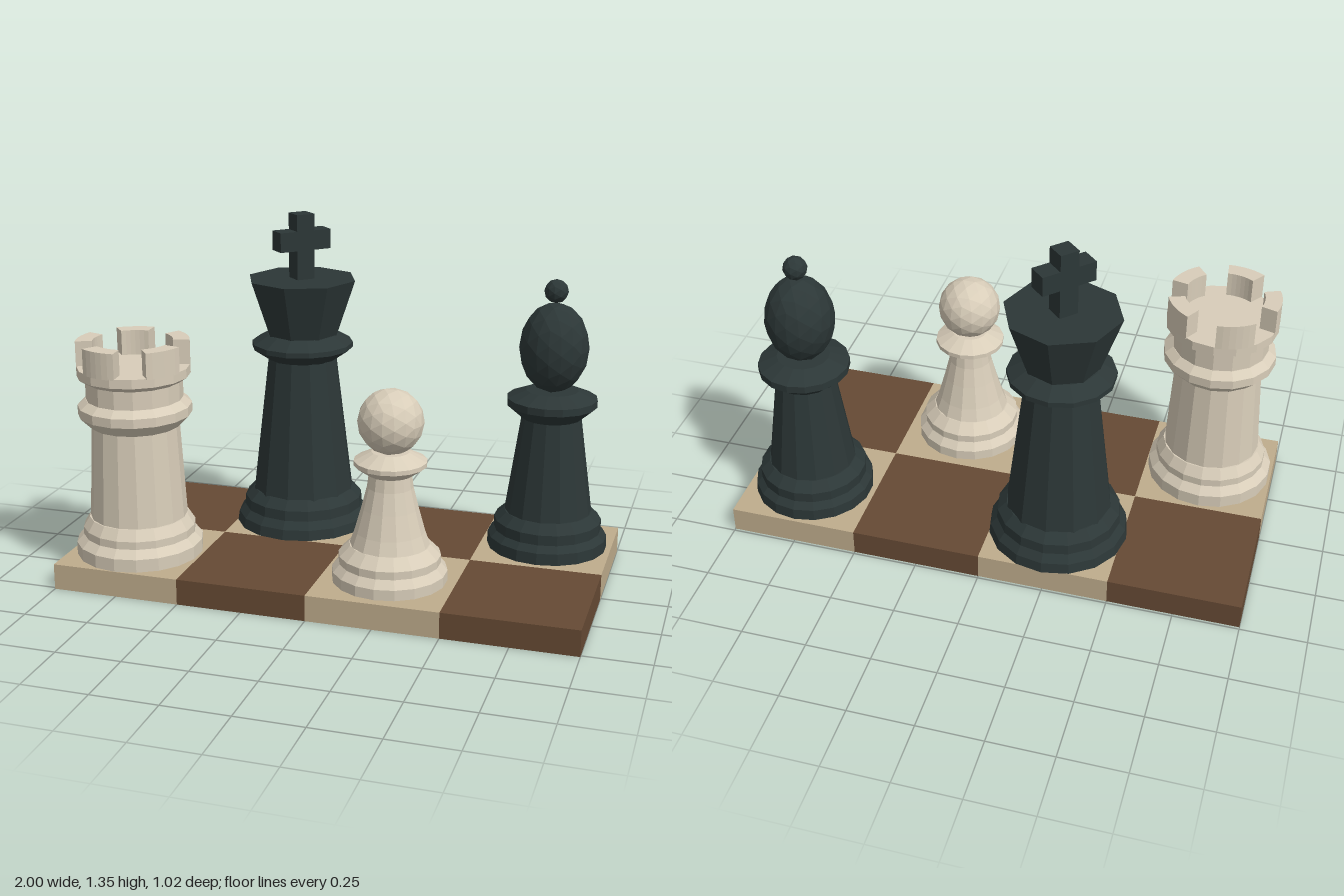
import * as THREE from 'three';

const mat = (name, color) => new THREE.MeshStandardMaterial({ name, color, flatShading: true });

export function createModel() {
  const ivory = mat('ivory', 0xd8cdb9);
  const ebony = mat('ebony', 0x2c3737);
  const lightWood = mat('lightWood', 0xbfac8c);
  const darkWood = mat('darkWood', 0x664a34);

  const model = new THREE.Group();
  model.name = 'chessSet';

  const add = (parent, name, geometry, material, y = 0) => {
    const mesh = new THREE.Mesh(geometry, material);
    mesh.name = name;
    mesh.position.y = y;
    parent.add(mesh);
    return mesh;
  };
  // Turned part: [radius, height] pairs from bottom to top, capped at both ends
  const turned = (profile, sides) => {
    const pts = [[0, profile[0][1]], ...profile, [0, profile[profile.length - 1][1]]];
    return new THREE.LatheGeometry(pts.map(([r, y]) => new THREE.Vector2(r, y)), sides);
  };
  const piece = (name, x, z) => {
    const group = new THREE.Group();
    group.name = name;
    group.position.set(x, 0, z);
    model.add(group);
    return group;
  };

  // Board: two rows of four squares
  const board = piece('board', 0, 0.01);
  for (let row = 0; row < 2; row++) {
    for (let col = 0; col < 4; col++) {
      const light = (row + col) % 2 === 1;
      const tile = add(board, light ? 'lightSquare' : 'darkSquare',
        new THREE.BoxGeometry(0.5, 0.1, 0.5), light ? lightWood : darkWood, 0.05);
      tile.position.x = -0.75 + col * 0.5;
      tile.position.z = -0.25 + row * 0.5;
    }
  }

  // Rook
  const rook = piece('rook', -0.75, 0.265);
  add(rook, 'rookBase', turned([[0.243, 0.1], [0.243, 0.15], [0.215, 0.18], [0.215, 0.21], [0.19, 0.25]], 18), ivory);
  add(rook, 'rookColumn', turned([[0.186, 0.24], [0.165, 0.63]], 16), ivory);
  add(rook, 'rookCollar', turned([[0.17, 0.61], [0.215, 0.655], [0.215, 0.69], [0.185, 0.715]], 16), ivory);
  add(rook, 'rookCrown', turned([[0.183, 0.7], [0.183, 0.785], [0.213, 0.805], [0.213, 0.84]], 16), ivory);
  for (let i = 0; i < 5; i++) {
    const mid = THREE.MathUtils.degToRad(-105 + i * 72);
    const half = THREE.MathUtils.degToRad(20);
    const arc = new THREE.Shape();
    arc.absarc(0, 0, 0.213, mid - half, mid + half, false);
    arc.absarc(0, 0, 0.15, mid + half, mid - half, true);
    const geo = new THREE.ExtrudeGeometry(arc, { depth: 0.1, bevelEnabled: false, curveSegments: 3 });
    geo.rotateX(-Math.PI / 2);
    add(rook, 'rookBattlement', geo, ivory, 0.836);
  }

  // King
  const king = piece('king', -0.25, -0.24);
  add(king, 'kingBase', turned([[0.268, 0.1], [0.262, 0.14], [0.238, 0.17], [0.235, 0.21], [0.2, 0.245]], 16), ebony);
  add(king, 'kingBody', turned([[0.203, 0.23], [0.135, 0.8]], 12), ebony);
  add(king, 'kingCollar', turned([[0.135, 0.78], [0.2, 0.825], [0.2, 0.845], [0.14, 0.88]], 14), ebony);
  add(king, 'kingHead', turned([[0.135, 0.86], [0.217, 1.1]], 8), ebony);
  const cross = new THREE.Group();
  cross.name = 'kingCross';
  cross.rotation.y = Math.PI / 4;
  king.add(cross);
  add(cross, 'crossPost', new THREE.BoxGeometry(0.074, 0.265, 0.074), ebony, 1.222);
  add(cross, 'crossBar', new THREE.BoxGeometry(0.216, 0.076, 0.074), ebony, 1.252);

  // Pawn
  const pawn = piece('pawn', 0.25, 0.26);
  add(pawn, 'pawnBase', turned([[0.215, 0.1], [0.215, 0.14], [0.19, 0.17], [0.19, 0.2], [0.15, 0.24]], 18), ivory);
  add(pawn, 'pawnBody', turned([[0.155, 0.22], [0.13, 0.29], [0.105, 0.38], [0.085, 0.46], [0.075, 0.54]], 14), ivory);
  add(pawn, 'pawnCollar', turned([[0.085, 0.51], [0.135, 0.545], [0.135, 0.562], [0.07, 0.595]], 16), ivory);
  add(pawn, 'pawnHead', new THREE.IcosahedronGeometry(0.122, 2), ivory, 0.707);

  // Bishop
  const bishop = piece('bishop', 0.75, -0.245);
  add(bishop, 'bishopBase', turned([[0.232, 0.1], [0.23, 0.145], [0.207, 0.17], [0.207, 0.21], [0.17, 0.245]], 18), ebony);
  add(bishop, 'bishopBody', turned([[0.17, 0.23], [0.11, 0.65]], 14), ebony);
  add(bishop, 'bishopCollar', turned([[0.115, 0.62], [0.173, 0.67], [0.173, 0.698], [0.1, 0.728]], 16), ebony);
  add(bishop, 'bishopHead', new THREE.IcosahedronGeometry(0.132, 2), ebony, 0.892).scale.y = 1.32;
  add(bishop, 'bishopFinial', new THREE.IcosahedronGeometry(0.046, 1), ebony, 1.11);

  return model;
}
